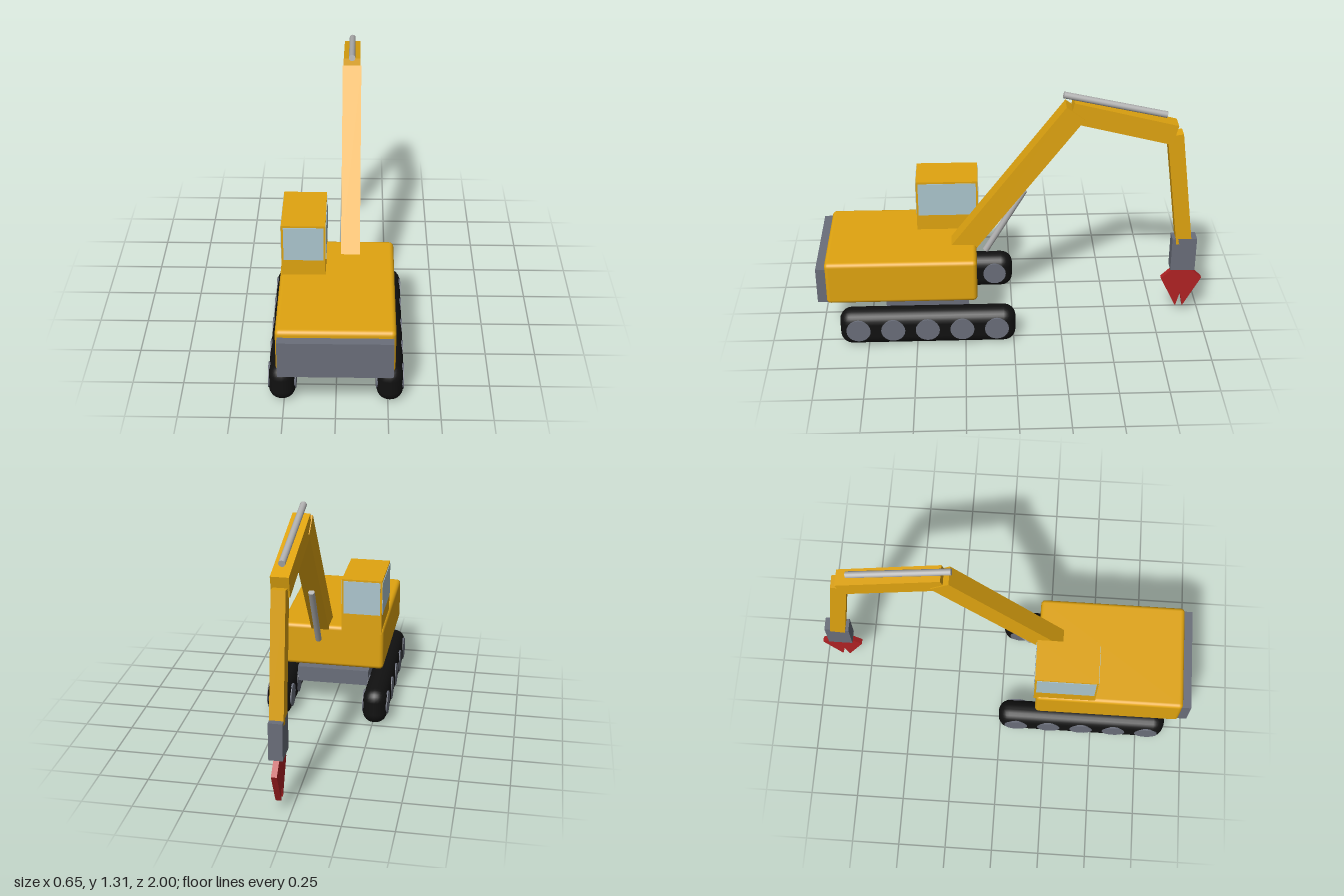
import * as THREE from 'three';
import { RoundedBoxGeometry } from 'three/addons/geometries/RoundedBoxGeometry.js';

export function createModel() {
  const model = new THREE.Group();
  model.name = 'excavator';

  const mat = (name, color) => {
    const m = new THREE.MeshStandardMaterial({ color });
    m.name = name;
    return m;
  };
  const yellow = mat('yellow paint', 0xe0a410);
  const grey = mat('dark steel', 0x6a6e7a);
  const black = mat('track rubber', 0x111111);
  const glass = mat('window glass', 0xacc6ce);
  const chrome = mat('polished steel', 0xb0b0b0);
  const red = mat('claw red', 0xb02224);

  const add = (name, geometry, material, x, y, z) => {
    const mesh = new THREE.Mesh(geometry, material);
    mesh.name = name;
    mesh.position.set(x, y, z);
    model.add(mesh);
    return mesh;
  };
  const box = (name, material, [x0, x1], [y0, y1], [z0, z1]) =>
    add(name, new THREE.BoxGeometry(x1 - x0, y1 - y0, z1 - z0), material,
      (x0 + x1) / 2, (y0 + y1) / 2, (z0 + z1) / 2);

  // Tracks with road wheels showing on both faces
  for (const side of [-1, 1]) {
    const name = side > 0 ? 'left' : 'right';
    add(name + 'Track', new RoundedBoxGeometry(0.13, 0.195, 0.905, 3, 0.062), black,
      side * 0.259, 0.0975, 0.443);
    for (let i = 0; i < 5; i++) {
      const wheel = new THREE.CylinderGeometry(0.062, 0.062, 0.134, 20).rotateZ(Math.PI / 2);
      add(name + 'Wheel' + (i + 1), wheel, grey, side * 0.259, 0.1, 0.089 + i * 0.1775);
    }
  }

  // Undercarriage and turntable
  box('undercarriage', grey, [-0.195, 0.195], [0.12, 0.205], [0.23, 0.658]);
  add('turntable', new THREE.CylinderGeometry(0.15, 0.15, 0.05, 32), grey, 0, 0.222, 0.444);

  // Body and counterweight
  add('body', new RoundedBoxGeometry(0.56, 0.236, 0.77, 3, 0.022), yellow, 0, 0.358, 0.571);
  box('counterweight', grey, [-0.27, 0.27], [0.25, 0.444], [0.93, 1.0]);

  // Cab with a window on each side
  const cabX = [-0.27, -0.056], cabZ = [0.175, 0.495], winY = [0.562, 0.745];
  box('cab', yellow, cabX, [0.45, 0.755], cabZ);
  for (const z of cabZ)
    box('endWindow', glass, [cabX[0] + 0.01, cabX[1] - 0.01], winY, [z - 0.003, z + 0.003]);
  for (const x of cabX)
    box('sideWindow', glass, [x - 0.003, x + 0.003], winY, [cabZ[0] + 0.01, cabZ[1] - 0.01]);

  // Arm parts run between two [z, y] points on the arm plane
  const armX = 0.0625;
  const between = (name, geometry, material, a, b) => {
    const mesh = add(name, geometry, material, armX, (a[1] + b[1]) / 2, (a[0] + b[0]) / 2);
    mesh.lookAt(armX, b[1], b[0]);
  };
  const span = (a, b) => Math.hypot(b[0] - a[0], b[1] - a[1]);
  const beam = (name, a, b, width, height) =>
    between(name, new THREE.BoxGeometry(width, height, span(a, b)), yellow, a, b);
  const ram = (name, a, b) =>
    between(name, new THREE.CylinderGeometry(0.0165, 0.0165, span(a, b), 16).rotateX(Math.PI / 2),
      chrome, a, b);

  beam('boom', [0.269, 0.441], [-0.308, 1.211], 0.095, 0.115);
  beam('stick', [-0.288, 1.213], [-0.805, 1.082], 0.086, 0.107);
  beam('forearm', [-0.807, 1.078], [-0.89, 0.45], 0.068, 0.08);
  ram('boomRam', [0.139, 0.417], [-0.06, 0.765]);
  ram('stickRam', [-0.25, 1.292], [-0.763, 1.177]);

  // Coupler and claw
  box('coupler', grey, [armX - 0.034, armX + 0.034], [0.288, 0.478], [-0.957, -0.829]);
  const outline = [[0.856, 0.295], [0.786, 0.225], [0.872, 0.05], [0.893, 0.134],
    [0.909, 0.05], [1.0, 0.225], [0.925, 0.295]];
  const clawShape = new THREE.Shape(outline.map(([x, y]) => new THREE.Vector2(x, y)));
  const claw = new THREE.ExtrudeGeometry(clawShape, { depth: 0.028, bevelEnabled: false });
  add('claw', claw.rotateY(Math.PI / 2), red, armX - 0.014, 0, 0);

  return model;
}
